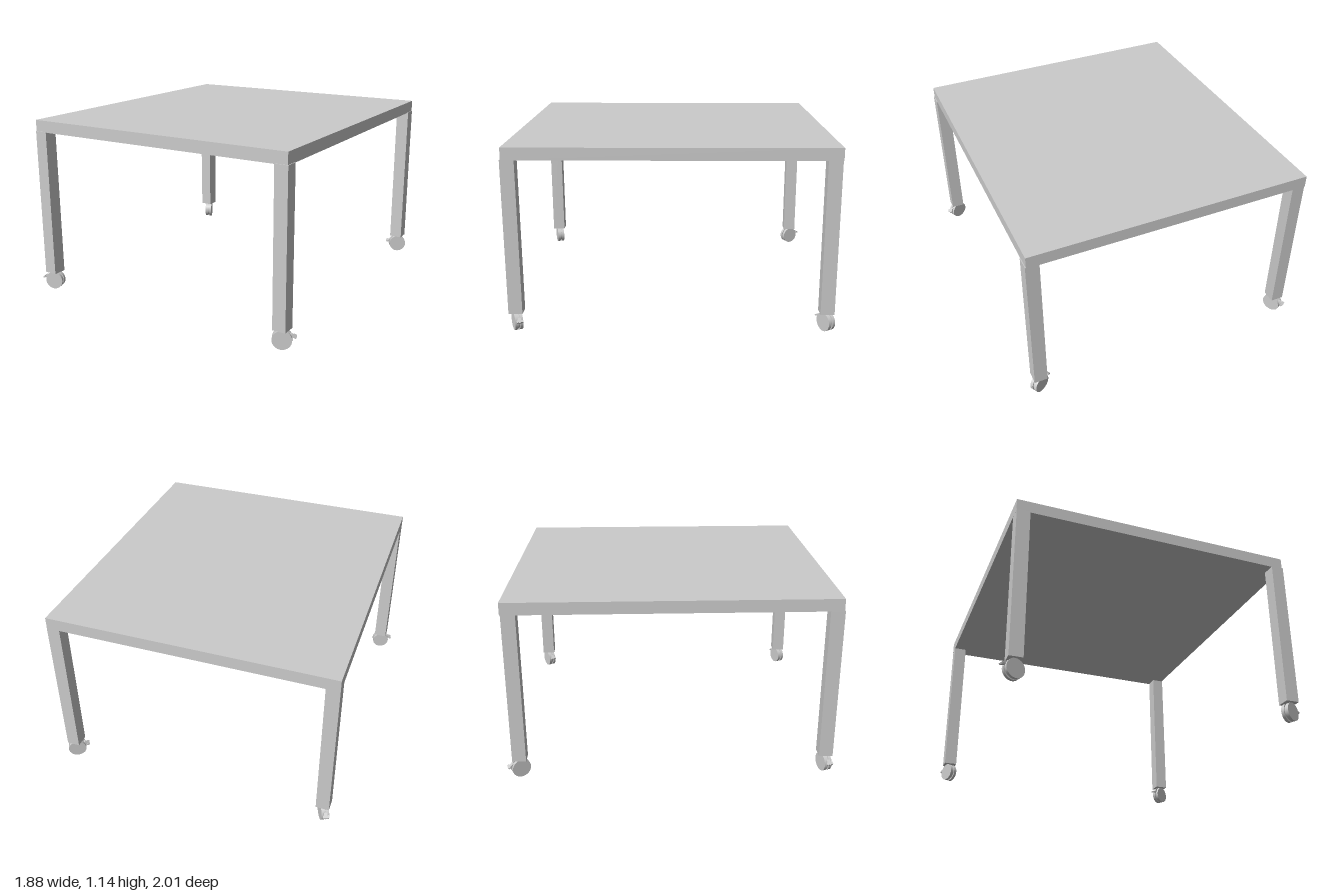
import * as THREE from 'three';

const material = new THREE.MeshStandardMaterial({ color: 0xcccccc });

function add(parent, name, geometry, x = 0, y = 0, z = 0) {
  const mesh = new THREE.Mesh(geometry, material);
  mesh.name = name;
  mesh.position.set(x, y, z);
  parent.add(mesh);
  return mesh;
}

// Twin-wheel caster: rolls along local x, brake lever at local +x
function createCaster(name) {
  const caster = new THREE.Group();
  caster.name = name;
  const disc = (radius, width) =>
    new THREE.CylinderGeometry(radius, radius, width, 32).rotateX(Math.PI / 2);
  for (const side of [-1, 1]) {
    add(caster, 'wheel', disc(0.058, 0.019), 0, 0.058, side * 0.0145);
  }
  add(caster, 'hubHousing', disc(0.05, 0.012), 0, 0.06, 0);
  add(caster, 'stem', new THREE.CylinderGeometry(0.012, 0.012, 0.05, 16), 0, 0.1, 0);

  // Brake lever: thin bent tongue with a wider foot pad
  const tongue = new THREE.Shape();
  tongue.moveTo(0.03, 0.09);
  tongue.lineTo(0.052, 0.092);
  tongue.lineTo(0.082, 0.074);
  tongue.lineTo(0.079, 0.066);
  tongue.lineTo(0.03, 0.078);
  const lever = new THREE.ExtrudeGeometry(tongue, { depth: 0.022, bevelEnabled: false });
  add(caster, 'brakeLever', lever, 0, 0, -0.011);
  const pad = add(caster, 'brakePad', new THREE.BoxGeometry(0.016, 0.009, 0.04), 0.072, 0.076, 0);
  pad.rotation.z = -0.5;
  return caster;
}

export function createModel() {
  const table = new THREE.Group();
  table.name = 'rollingTable';

  // Solid top slab
  add(table, 'tableTop', new THREE.BoxGeometry(1.79, 0.075, 1.97), -0.005, 1.107, 0.005);

  // Square legs, each on a caster swivelled to its own heading (x, z)
  const corners = [
    { name: 'frontLeft', x: 0.853, z: 0.953, heading: [0.91, -0.41] },
    { name: 'frontRight', x: -0.858, z: 0.953, heading: [-0.95, 0.3] },
    { name: 'backLeft', x: 0.853, z: -0.933, heading: [-0.86, 0.5] },
    { name: 'backRight', x: -0.858, z: -0.933, heading: [-0.45, -0.89] },
  ];
  for (const { name, x, z, heading } of corners) {
    add(table, name + 'Leg', new THREE.BoxGeometry(0.083, 0.953, 0.085), x, 0.5965, z);
    const caster = createCaster(name + 'Caster');
    caster.position.set(x, 0.004, z);
    caster.rotation.y = Math.atan2(-heading[1], heading[0]);
    table.add(caster);
  }
  return table;
}
